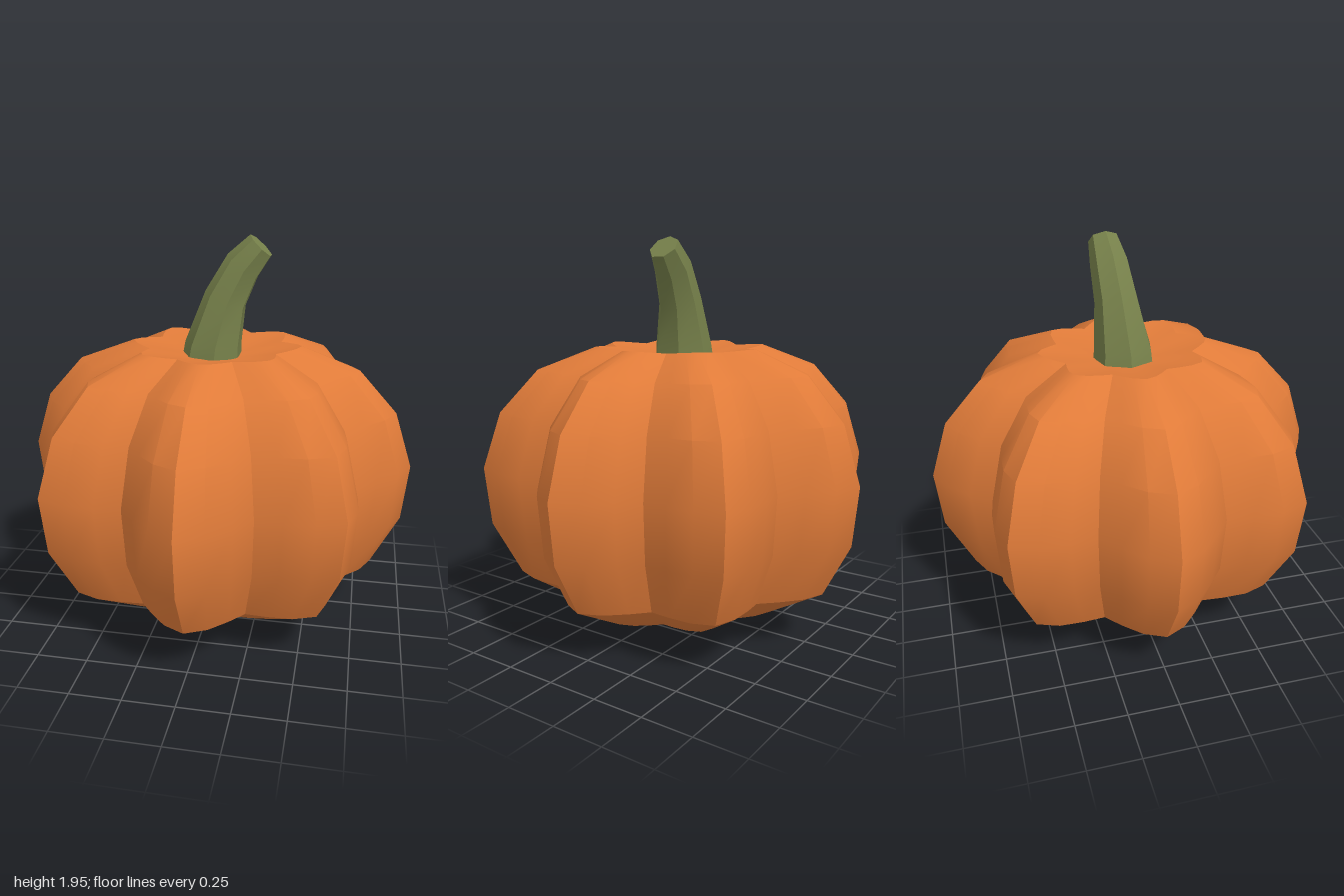
import * as THREE from 'three';
import { toCreasedNormals } from 'three/addons/utils/BufferGeometryUtils.js';

const CREASE = THREE.MathUtils.degToRad(30);

// Skin a stack of rings (bottom to top); a ring of equal points closes an end.
function loft(rings) {
  const pos = [];
  const tri = (a, b, c) => {
    if (a.distanceTo(b) < 1e-5 || b.distanceTo(c) < 1e-5 || c.distanceTo(a) < 1e-5) return;
    pos.push(...a.toArray(), ...b.toArray(), ...c.toArray());
  };
  for (let i = 0; i < rings.length - 1; i++) {
    const lo = rings[i], hi = rings[i + 1], n = lo.length;
    for (let j = 0; j < n; j++) {
      const k = (j + 1) % n;
      tri(lo[j], lo[k], hi[k]);
      tri(lo[j], hi[k], hi[j]);
    }
  }
  const g = new THREE.BufferGeometry();
  g.setAttribute('position', new THREE.Float32BufferAttribute(pos, 3));
  return toCreasedNormals(g, CREASE);
}

// Eight-lobed body: a [radius, height] profile scaled by a repeating lobe rule.
function bodyGeometry() {
  const profile = [
    [0, 0], [0.17, 0.005], [0.53, 0.1], [0.83, 0.265], [0.97, 0.53], [1, 0.82],
    [0.91, 1.1], [0.72, 1.31], [0.43, 1.42], [0, 1.335],
  ];
  const lobe = [1, 0.945, 0.86, 0.79, 0.86, 0.945]; // tip, flank, flank, groove...
  const n = 48;
  return loft(profile.map(([r, y]) => Array.from({ length: n }, (_, j) => {
    const a = (j / n) * Math.PI * 2;
    const f = lobe[j % 6];
    const z = r * f * Math.cos(a);
    const drop = y > 0.05 && r > 0 ? 0.06 * (1 - f) : 0;
    return new THREE.Vector3(r * f * Math.sin(a), y - drop, z - 0.015 * (1 - z * z));
  })));
}

// Bent, tapering seven-sided stem.
function stemGeometry() {
  const sections = [ // x, y, z, radius, tilt in degrees
    [-0.025, 1.33, -0.015, 0.155, 0],
    [-0.015, 1.42, -0.016, 0.146, 2],
    [0.043, 1.64, -0.035, 0.11, 21],
    [0.125, 1.8, -0.05, 0.096, 38],
    [0.212, 1.9, -0.06, 0.075, 43.6],
  ];
  const ring = ([x, y, z, r, tilt]) => Array.from({ length: 7 }, (_, j) => {
    const a = (j / 7) * Math.PI * 2 - Math.PI / 2;
    return new THREE.Vector3(Math.sin(a) * r, 0, Math.cos(a) * r)
      .applyAxisAngle(new THREE.Vector3(0, 0, 1), -THREE.MathUtils.degToRad(tilt))
      .add(new THREE.Vector3(x, y, z));
  });
  const tip = sections[sections.length - 1].slice();
  tip[3] = 0;
  return loft([...sections, tip].map(ring));
}

export function createModel() {
  const orange = new THREE.MeshStandardMaterial({ color: 0xe07b39 });
  orange.name = 'orange skin';
  const green = new THREE.MeshStandardMaterial({ color: 0x76804a });
  green.name = 'stem green';

  const model = new THREE.Group();
  model.name = 'pumpkin';
  const add = (name, geometry, material) => {
    const mesh = new THREE.Mesh(geometry, material);
    mesh.name = name;
    model.add(mesh);
  };
  add('body', bodyGeometry(), orange);
  add('stem', stemGeometry(), green);
  return model;
}
